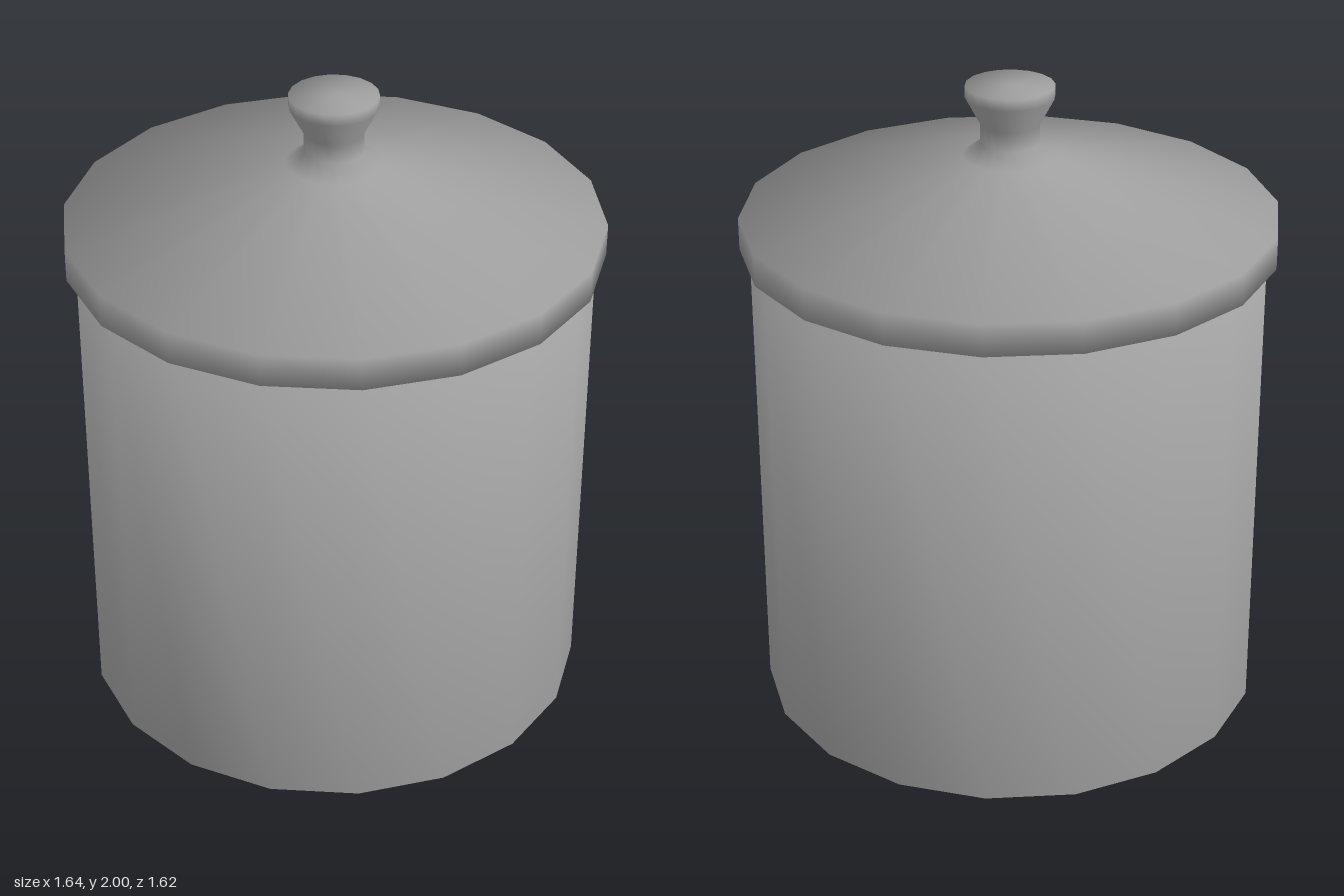
import * as THREE from 'three';

const SIDES = 18;

// Revolved part from [radius, height] pairs, listed bottom to top, with a corner on the x axis.
// Each ring's normal is the even average of the bands it joins, so the edges shade softly.
function turned(name, profile, material) {
  const points = profile.map(([r, y]) => new THREE.Vector2(r, y));
  const bands = points.slice(1).map((p, i) =>
    new THREE.Vector2(p.y - points[i].y, points[i].x - p.x).normalize());
  const rings = points.map((p, i) => {
    if (p.x === 0) return new THREE.Vector2(0, i === 0 ? -1 : 1);
    const below = bands[Math.max(i - 1, 0)];
    const above = bands[Math.min(i, bands.length - 1)];
    return below.clone().add(above).normalize();
  });

  const geometry = new THREE.LatheGeometry(points, SIDES, Math.PI / 2);
  const normal = geometry.attributes.normal;
  for (let i = 0; i < normal.count; i++) {
    const angle = Math.PI / 2 + Math.floor(i / points.length) * Math.PI * 2 / SIDES;
    const n = rings[i % points.length];
    normal.setXYZ(i, n.x * Math.sin(angle), n.y, n.x * Math.cos(angle));
  }
  const mesh = new THREE.Mesh(geometry, material);
  mesh.name = name;
  return mesh;
}

export function createModel() {
  const model = new THREE.Group();
  model.name = 'liddedJar';
  const material = new THREE.MeshStandardMaterial({ color: 0x9e9e9e });

  // Straight jar wall with a soft top edge, closed under the lid
  const body = turned('body', [[0.79, 0], [0.79, 1.465], [0, 1.465]], material);

  // Flat base with a sharp edge
  const base = new THREE.Mesh(new THREE.CircleGeometry(0.79, SIDES), material);
  base.name = 'base';
  base.rotation.x = Math.PI / 2;

  // Lid in one piece with its knob
  const lid = turned('lid', [
    [0, 1.468], [0.7, 1.468], [0.82, 1.5], // underside
    [0.82, 1.6], [0.145, 1.78], [0.09, 1.82], // rim, slope and flare
    [0.09, 1.88], [0.135, 1.965], [0.135, 2], [0, 2], // knob
  ], material);

  model.add(body, base, lid);
  return model;
}
